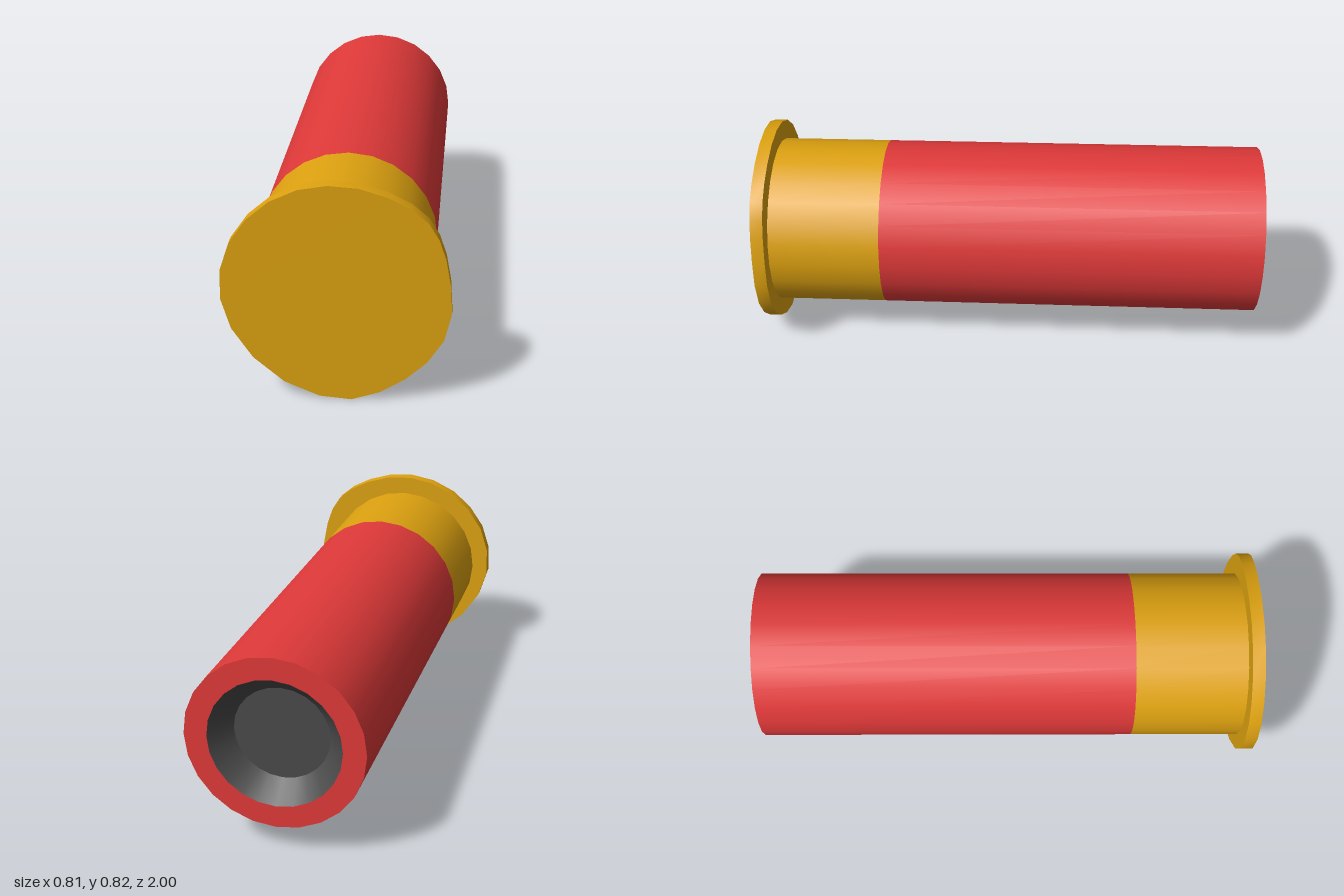
import * as THREE from 'three';
import { toCreasedNormals } from 'three/addons/utils/BufferGeometryUtils.js';

const SIDES = 24;

// Turned surface between two [radius, z] points, on an axis that drifts slightly toward the back
function turned(name, from, to, material) {
  const g = new THREE.LatheGeometry([new THREE.Vector2(...from), new THREE.Vector2(...to)], SIDES);
  g.rotateX(Math.PI / 2);
  const p = g.attributes.position;
  for (let i = 0; i < p.count; i++) {
    const back = 0.95 - p.getZ(i);
    p.setX(i, p.getX(i) + back * 0.0128);
    p.setY(i, p.getY(i) + 0.413 + back * 0.0145);
  }
  const mesh = new THREE.Mesh(g, material);
  mesh.name = name;
  return mesh;
}

export function createModel() {
  const brass = new THREE.MeshStandardMaterial({ color: 0xdea210 });
  brass.name = 'brass';
  const red = new THREE.MeshStandardMaterial({ color: 0xe03939 });
  red.name = 'red casing';
  const dark = new THREE.MeshStandardMaterial({ color: 0x4a4a4a });
  dark.name = 'dark recess';

  const model = new THREE.Group();
  model.name = 'cartridge';
  const R = 0.336;

  // Slightly uneven rim plate at the front
  const outline = [
    [-0.025, 0.825], [-0.128, 0.806], [-0.225, 0.76], [-0.305, 0.691], [-0.367, 0.602], [-0.401, 0.5],
    [-0.405, 0.387], [-0.37, 0.27], [-0.295, 0.157], [-0.185, 0.063], [-0.06, 0.01], [0.056, 0.0],
    [0.157, 0.035], [0.245, 0.09], [0.322, 0.162], [0.38, 0.252], [0.405, 0.36], [0.398, 0.467],
    [0.38, 0.565], [0.355, 0.638], [0.318, 0.698], [0.26, 0.747], [0.18, 0.788], [0.08, 0.818],
  ].map(([x, y]) => new THREE.Vector2(x, y));
  const plate = new THREE.ExtrudeGeometry(new THREE.Shape(outline), { depth: 0.05, bevelEnabled: false });
  plate.translate(0, 0, 0.95);
  const rim = new THREE.Mesh(toCreasedNormals(plate, 0.6), brass);
  rim.name = 'rim';
  model.add(rim);

  // Tube, mouth and recess, from the front to the back
  model.add(
    turned('brassBase', [R, 0.508], [R, 0.95], brass),
    turned('casing', [R, -1], [R, 0.508], red),
    turned('mouthRing', [0.25, -1], [R, -1], red),
    turned('recessWall', [0.18, -0.91], [0.25, -1], dark),
    turned('recessFloor', [0, -0.91], [0.18, -0.91], dark),
  );
  return model;
}
